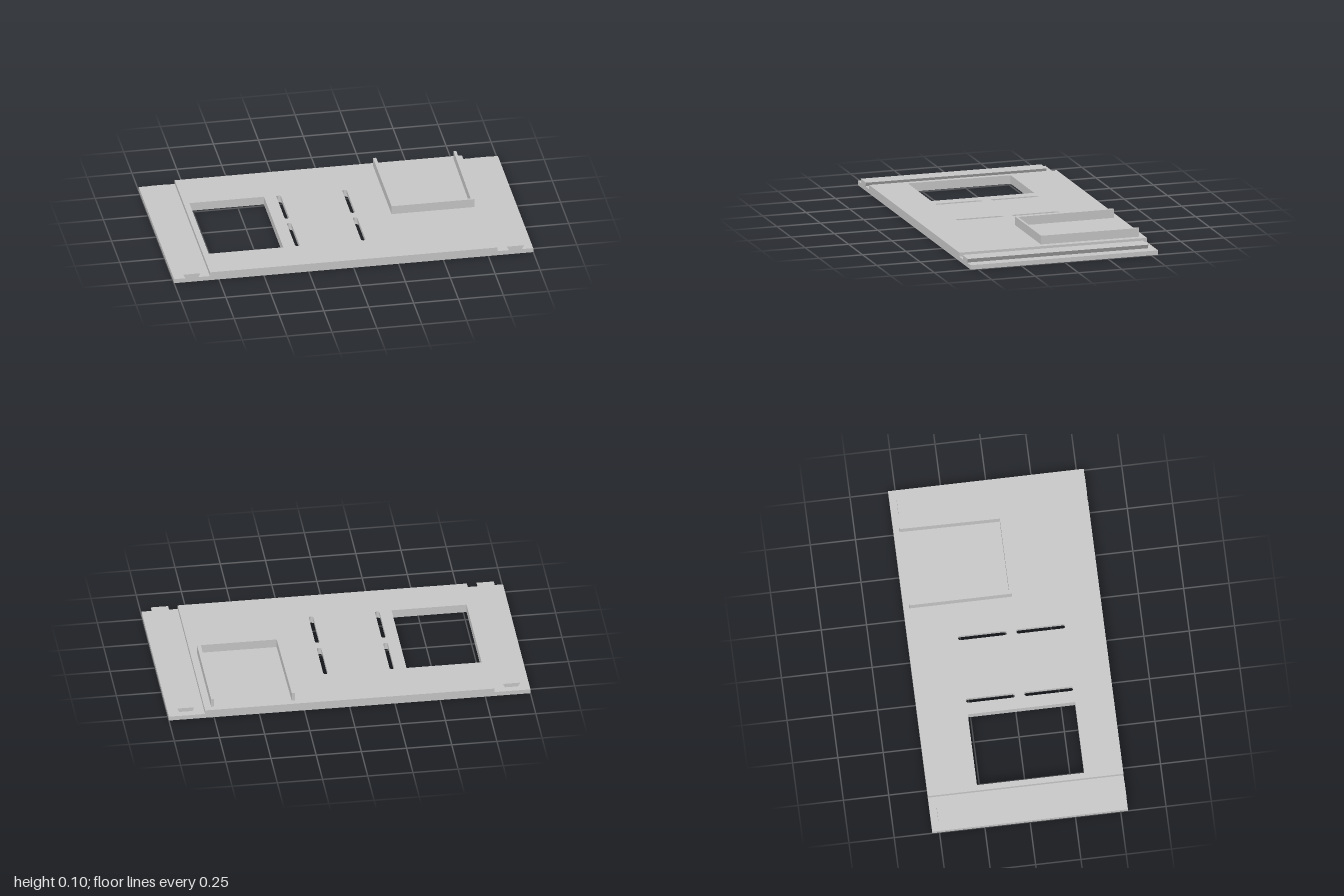
import * as THREE from 'three';

const DEPTH = 0.54, BASE = 0.025, TOP = 0.048, WALL = 0.097;

// Closed outline through [x, y] points
const outline = (pts, Type = THREE.Shape) => new Type(pts.map(([x, y]) => new THREE.Vector2(x, y)));
const rect = (x0, z0, x1, z1, Type) => outline([[x0, -z1], [x1, -z1], [x1, -z0], [x0, -z0]], Type);

// Round-ended slot along z, with end arcs centred on z0 and z1
function slot(x, z0, z1, r) {
  const p = new THREE.Path();
  p.absarc(x, -z0, r, 0, Math.PI);
  p.absarc(x, -z1, r, Math.PI, Math.PI * 2);
  p.closePath();
  return p;
}

export function createModel() {
  const group = new THREE.Group();
  const grey = new THREE.MeshStandardMaterial({ color: 0xc8c8c8 });
  grey.name = 'light grey';

  const add = (name, geometry) => {
    const mesh = new THREE.Mesh(geometry, grey);
    mesh.name = name;
    group.add(mesh);
  };
  // Plan shape (x, -z) raised from y0 to y1
  const raise = (name, shape, y0, y1) => {
    const g = new THREE.ExtrudeGeometry(shape, { depth: y1 - y0, bevelEnabled: false, curveSegments: 10 });
    add(name, g.rotateX(-Math.PI / 2).translate(0, y0, 0));
  };

  // Two stacked plates share the window; the slots are wider in the lower one
  const plate = (halfWidth, slotRadius) => {
    const s = rect(-halfWidth, -DEPTH, halfWidth, DEPTH);
    s.holes.push(rect(-0.768, -0.265, -0.353, 0.327, THREE.Path));
    for (const x of [-0.273, 0.094]) {
      s.holes.push(slot(x, -0.252, -0.008, slotRadius), slot(x, 0.07, 0.314, slotRadius));
    }
    return s;
  };
  raise('basePlate', plate(1, 0.024), 0, BASE);
  raise('upperPlate', plate(0.8, 0.0125), BASE, TOP);

  // Dovetail rails, open at the front and stopping short of the back
  for (const [name, side] of [['leftRail', 1], ['rightRail', -1]]) {
    const profile = outline([[-0.036, BASE], [0.036, BASE], [0.048, TOP], [-0.048, TOP]]);
    const g = new THREE.ExtrudeGeometry(profile, { depth: DEPTH + 0.5, bevelEnabled: false });
    add(name, g.translate(side * 0.901, 0, -0.5));
  }

  // Three-sided holder wall, tapering slightly towards its open back
  const holder = [
    [0.299, 0.058], [0.762, 0.058], [0.762, -0.508], [0.747, -0.508],
    [0.741, 0.045], [0.322, 0.045], [0.316, -0.508], [0.299, -0.508],
  ];
  raise('holderWall', outline(holder.map(([x, z]) => [x, -z])), TOP, WALL);

  return group;
}
